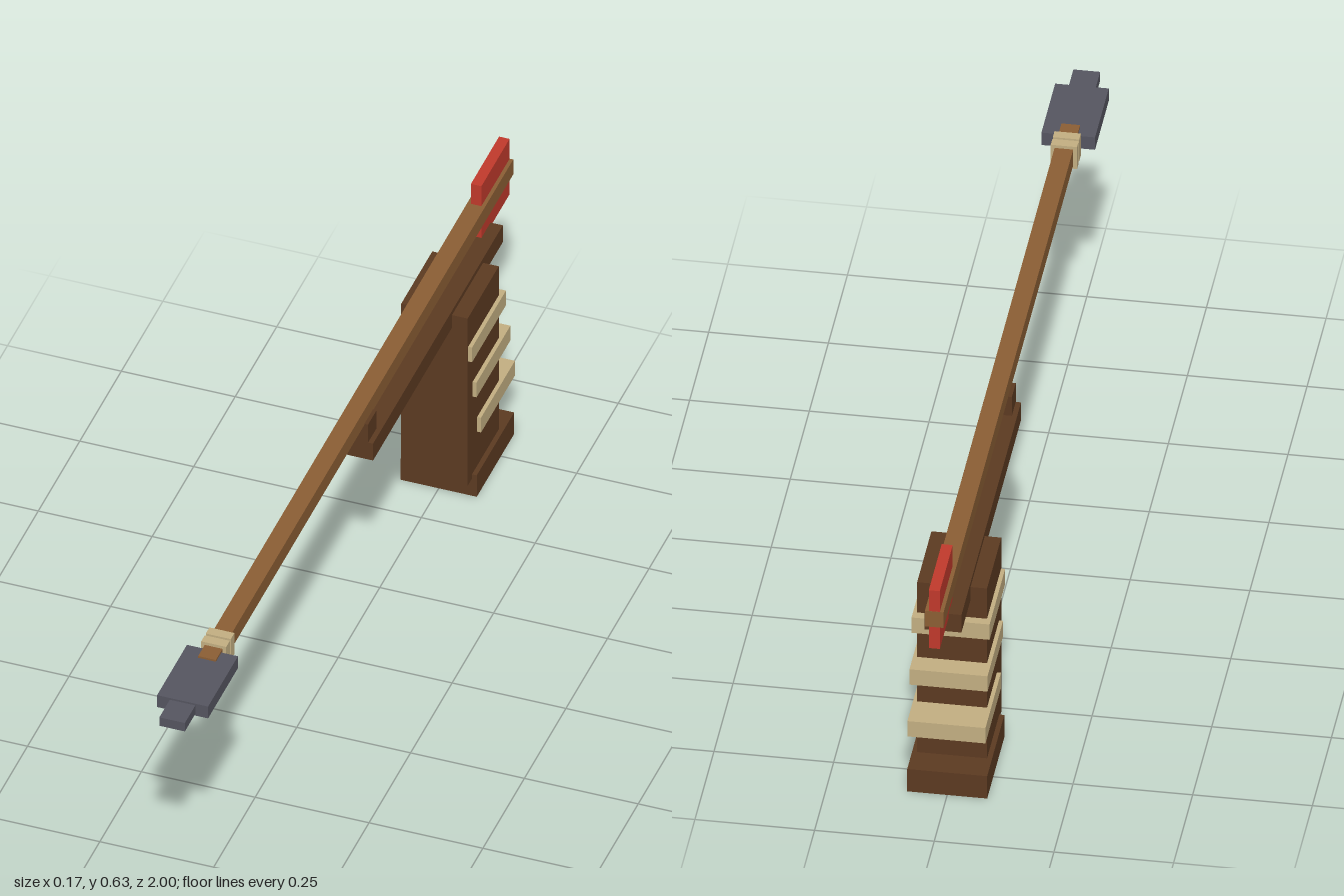
import * as THREE from 'three';

const mat = (name, color) => {
  const m = new THREE.MeshStandardMaterial({ color });
  m.name = name;
  return m;
};

export function createModel() {
  const group = new THREE.Group();
  group.name = 'boltLauncher';

  const darkWood = mat('darkWood', 0x5c3a21);
  const lightWood = mat('lightWood', 0x8b5e34);
  const cord = mat('cord', 0xc2ae81);
  const iron = mat('iron', 0x555560);
  const red = mat('redFeather', 0xc0392b);

  // Box centred on x, given its width and its y and z ranges
  const box = (name, material, width, [y0, y1], [z0, z1]) => {
    const mesh = new THREE.Mesh(new THREE.BoxGeometry(width, y1 - y0, z1 - z0), material);
    mesh.position.set(0, (y0 + y1) / 2, (z0 + z1) / 2);
    mesh.name = name;
    group.add(mesh);
  };

  // Handle
  box('grip', darkWood, 0.146, [0.045, 0.482], [-0.766, -0.579]);
  box('gripFoot', darkWood, 0.167, [0, 0.056], [-0.83, -0.605]);
  for (let i = 0; i < 3; i++) {
    const y = 0.387 - i * 0.1115;
    const z = -0.684 - i * 0.027;
    box('gripWrap' + (i + 1), cord, 0.163, [y - 0.0192, y + 0.0192], [z - 0.102, z + 0.102]);
  }

  // Rail with the rest that holds the shaft
  box('rail', darkWood, 0.077, [0.449, 0.493], [-0.885, -0.104]);
  box('shaftRest', darkWood, 0.055, [0.485, 0.54], [-0.155, -0.1035]);

  // Bolt: shaft, fin, bindings and head
  box('shaft', lightWood, 0.039, [0.537, 0.576], [-1, 0.79]);
  box('tailFin', red, 0.023, [0.483, 0.628], [-0.9995, -0.83]);
  for (const z of [0.7, 0.728]) box('headBinding', cord, 0.055, [0.528, 0.583], [z, z + 0.022]);
  box('headBlade', iron, 0.112, [0.5405, 0.5715], [0.757, 0.937]);
  box('headTip', iron, 0.056, [0.545, 0.567], [0.93, 1]);

  return group;
}
